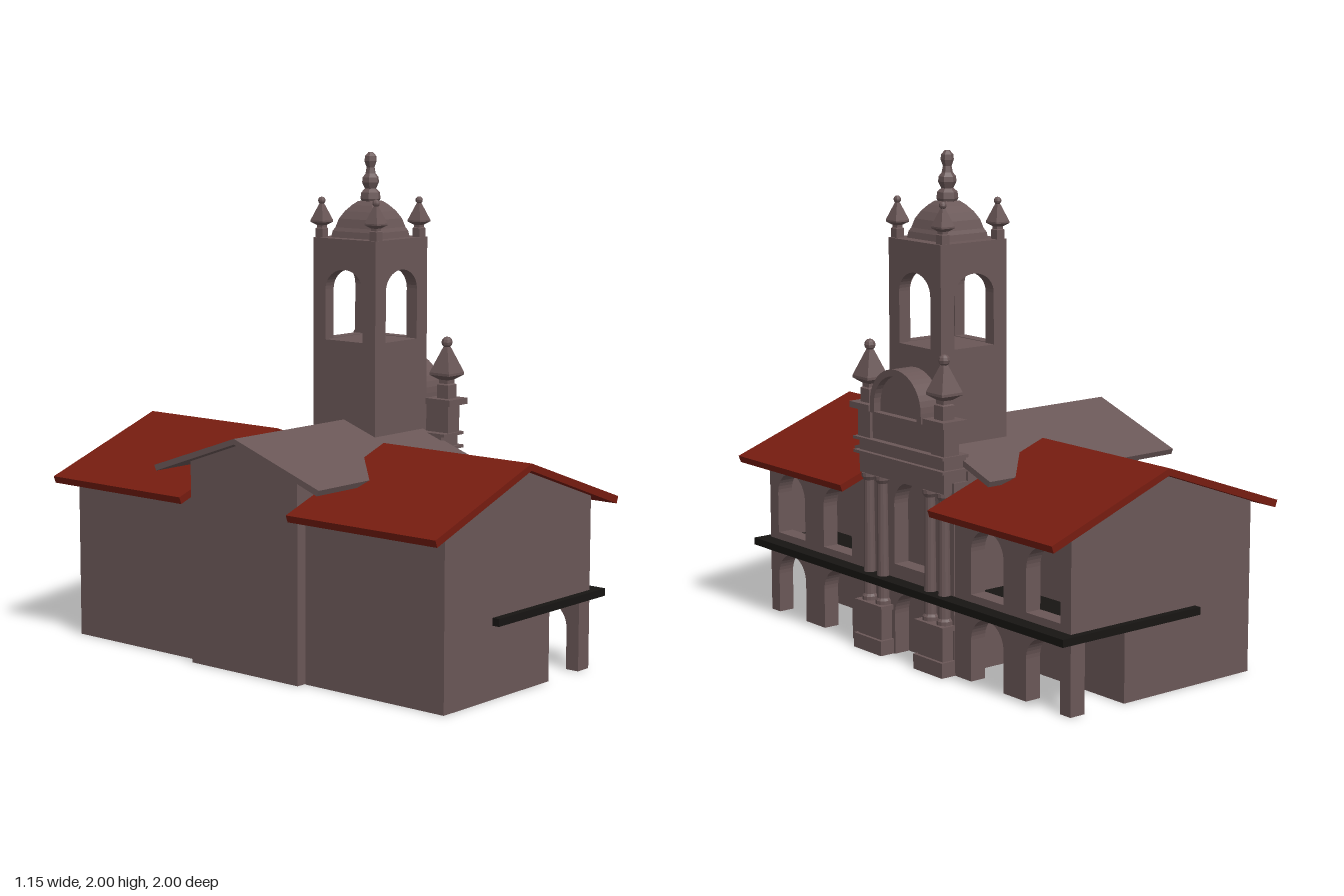
import * as THREE from 'three';

const mat = (color) => new THREE.MeshStandardMaterial({ color, flatShading: true });

export function createModel() {
  const model = new THREE.Group();
  const stone = mat(0x6a5757), tile = mat(0x761c10), dark = mat(0x171513);

  const add = (name, geo, material = stone, parent = model) => {
    const mesh = new THREE.Mesh(geo, material);
    mesh.name = name;
    parent.add(mesh);
    return mesh;
  };
  // Box given by its limits on each axis
  const box = (name, x0, x1, y0, y1, z0, z1, material, parent) =>
    add(name, new THREE.BoxGeometry(x1 - x0, y1 - y0, z1 - z0)
      .translate((x0 + x1) / 2, (y0 + y1) / 2, (z0 + z1) / 2), material, parent);
  const extrude = (shape, depth) =>
    new THREE.ExtrudeGeometry(shape, { depth, bevelEnabled: false, curveSegments: 10 });
  const poly = (pts) => new THREE.Shape(pts.map(([a, b]) => new THREE.Vector2(a, b)));
  // Shape drawn in (z, y), filling x0..x1
  const facing = (shape, x0, x1) => extrude(shape, x1 - x0).rotateY(-Math.PI / 2).translate(x1, 0, 0);
  // Arched opening: centre, half width, sill, spring line, rise
  const arch = (path, c, r, sill, spring, rise = r) => {
    path.moveTo(c - r, sill);
    path.lineTo(c + r, sill);
    path.lineTo(c + r, spring);
    path.absellipse(c, spring, r, rise, 0, Math.PI, false);
    path.closePath();
    return path;
  };
  // Wall with doorways open to the ground and windows above
  const wall = (a, b, top, centres, sill, spring) => {
    const s = new THREE.Shape();
    const r = 0.097;
    s.moveTo(a, 0);
    for (const c of centres) {
      s.lineTo(c - r, 0);
      s.lineTo(c - r, 0.165);
      s.absarc(c, 0.165, r, Math.PI, 0, true);
      s.lineTo(c + r, 0);
      s.holes.push(arch(new THREE.Path(), c, r, sill, spring));
    }
    s.lineTo(b, 0);
    s.lineTo(b, top);
    s.lineTo(a, top);
    s.closePath();
    return s;
  };
  const chevron = (w, ridge, eave, t) =>
    poly([[-w, eave], [-w + 0.01, eave - t], [0, ridge - t], [w - 0.01, eave - t], [w, eave], [0, ridge]]);
  const turned = (profile, sides) => new THREE.LatheGeometry(
    profile.map(([w, y]) => new THREE.Vector2(sides === 4 ? w * Math.SQRT2 : w, y)),
    sides, sides === 4 ? Math.PI / 4 : 0);
  // Square obelisk with a ball on top; s scales it
  const pinnacle = (name, x, y, z, s) => {
    const g = new THREE.Group();
    g.name = name;
    add('pinnacleSpire', turned([[0, 0], [0.028, 0], [0.028, 0.055], [0.022, 0.06], [0.022, 0.075],
      [0.05, 0.095], [0.05, 0.105], [0.014, 0.2], [0.01, 0.21], [0, 0.21]], 4), stone, g);
    add('pinnacleBall', new THREE.SphereGeometry(0.023, 8, 6).translate(0, 0.228, 0), stone, g);
    g.position.set(x, y, z);
    g.scale.setScalar(s);
    model.add(g);
  };

  // Two wings with arcaded fronts
  for (const s of [1, -1]) {
    const span = (a, b) => (s > 0 ? [a, b] : [-b, -a]);
    const [z0, z1] = span(0.285, 0.96);
    box('wingBody', -0.47, 0.18, 0, 0.67, z0, z1);
    box('galleryCeiling', 0.18, 0.446, 0.65, 0.67, z0, z1);
    box('galleryEndWall', 0.18, 0.446, 0.29, 0.66, ...span(0.93, 0.96));
    const centres = s > 0 ? [0.48, 0.805] : [-0.805, -0.48];
    add('wingArcade', facing(wall(z0, z1, 0.67, centres, 0.345, 0.513), 0.377, 0.446));
    add('wingGable', extrude(poly([[-0.47, 0.67], [0.446, 0.67], [0.446, 0.69], [0, 0.85], [-0.47, 0.68]]), z1 - z0)
      .translate(0, 0, z0));
    const [r0, r1] = span(0.28, 1);
    add('wingRoof', extrude(chevron(0.575, 0.88, 0.675, 0.028), r1 - r0).translate(0, 0, r0), tile);
  }
  box('balcony', -0.18, 0.51, 0.285, 0.315, -0.99, 0.99, dark);

  // Central block, its gable and cross roof
  box('centralBlock', -0.51, 0.377, 0, 0.78, -0.28, 0.28);
  add('centralGable', facing(poly([[-0.28, 0.78], [0.28, 0.78], [0.28, 0.81], [0, 0.91], [-0.28, 0.81]]), -0.51, 0.377));
  add('centralRoof', facing(chevron(0.432, 0.935, 0.785, 0.022), -0.56, 0.392));
  add('centralFront', facing(wall(-0.28, 0.28, 0.76, [0], 0.37, 0.613), 0.377, 0.446));

  // Paired columns on pedestals
  for (const s of [1, -1]) {
    const zc = 0.195 * s;
    for (const [x0, x1, y0, y1, w] of [[0.3, 0.512, 0, 0.06, 0.09], [0.315, 0.498, 0.06, 0.18, 0.077], [0.305, 0.507, 0.18, 0.2, 0.088]])
      box('pedestal', x0, x1, y0, y1, zc - w, zc + w);
    for (const z of [0.152, 0.24])
      add('column', turned([[0, 0.2], [0.032, 0.2], [0.032, 0.215], [0.025, 0.225], [0.021, 0.69],
        [0.03, 0.705], [0.03, 0.72], [0, 0.72]], 12).translate(0.462, 0, z * s));
  }

  // Entablature, attic and arched parapet
  for (const [name, x0, x1, y0, y1, w] of [
    ['entablature', 0.377, 0.485, 0.72, 0.8, 0.27], ['lowerCornice', 0.377, 0.505, 0.8, 0.812, 0.285],
    ['frieze', 0.377, 0.485, 0.812, 0.855, 0.27], ['upperCornice', 0.377, 0.505, 0.855, 0.867, 0.285],
    ['attic', 0.415, 0.475, 0.867, 1.0, 0.275]])
    box(name, x0, x1, y0, y1, -w, w);
  const ring = arch(new THREE.Shape(), 0, 0.162, 0.98, 1.02, 0.15);
  ring.holes.push(arch(new THREE.Path(), 0, 0.135, 0.985, 1.02, 0.123));
  add('parapetArch', facing(ring, 0.41, 0.512));
  add('parapetPanel', facing(arch(new THREE.Shape(), 0, 0.14, 0.98, 1.02, 0.128), 0.415, 0.48));
  for (const s of [1, -1]) {
    const z = 0.235 * s;
    box('atticPost', 0.418, 0.488, 0.867, 0.98, z - 0.04, z + 0.04);
    box('postCap', 0.395, 0.512, 0.98, 1.005, z - 0.063, z + 0.063);
    pinnacle('facadePinnacle', 0.455, 1.005, z, 1);
  }

  // Bell tower, built around its own axis
  const tower = new THREE.Group();
  tower.name = 'bellTower';
  tower.position.x = 0.25;
  model.add(tower);
  const h = 0.163;
  box('towerShaft', -h, h, 0.8, 1.25, -h, h, stone, tower);
  for (let i = 0; i < 4; i++) {
    // Mitre-free walls: alternate pairs fit between the others
    const w = i % 2 ? h - 0.05 : h;
    const s = poly([[-w, 1.25], [w, 1.25], [w, 1.66], [-w, 1.66]]);
    s.holes.push(arch(new THREE.Path(), 0, 0.098, 1.252, 1.455, 0.083));
    add('belfryWall', facing(s, h - 0.05, h).rotateY(i * Math.PI / 2), stone, tower);
  }
  box('belfryCeiling', -0.12, 0.12, 1.6, 1.655, -0.12, 0.12, stone, tower);
  add('dome', turned([[0.113, 1.655], [0.108, 1.685], [0.1, 1.7], [0.09, 1.735], [0.073, 1.765],
    [0.052, 1.79], [0.035, 1.805], [0, 1.81]], 4), stone, tower);
  add('finial', turned([[0.035, 1.8], [0.043, 1.815], [0.04, 1.84], [0.024, 1.855], [0.036, 1.88], [0.034, 1.9],
    [0.022, 1.915], [0.017, 1.94], [0.026, 1.965], [0.024, 1.985], [0.01, 2], [0, 2]], 6), stone, tower);
  for (const a of [1, -1]) for (const b of [1, -1])
    pinnacle('towerPinnacle', 0.25 + 0.135 * a, 1.66, 0.142 * b, 0.65);

  return model;
}
